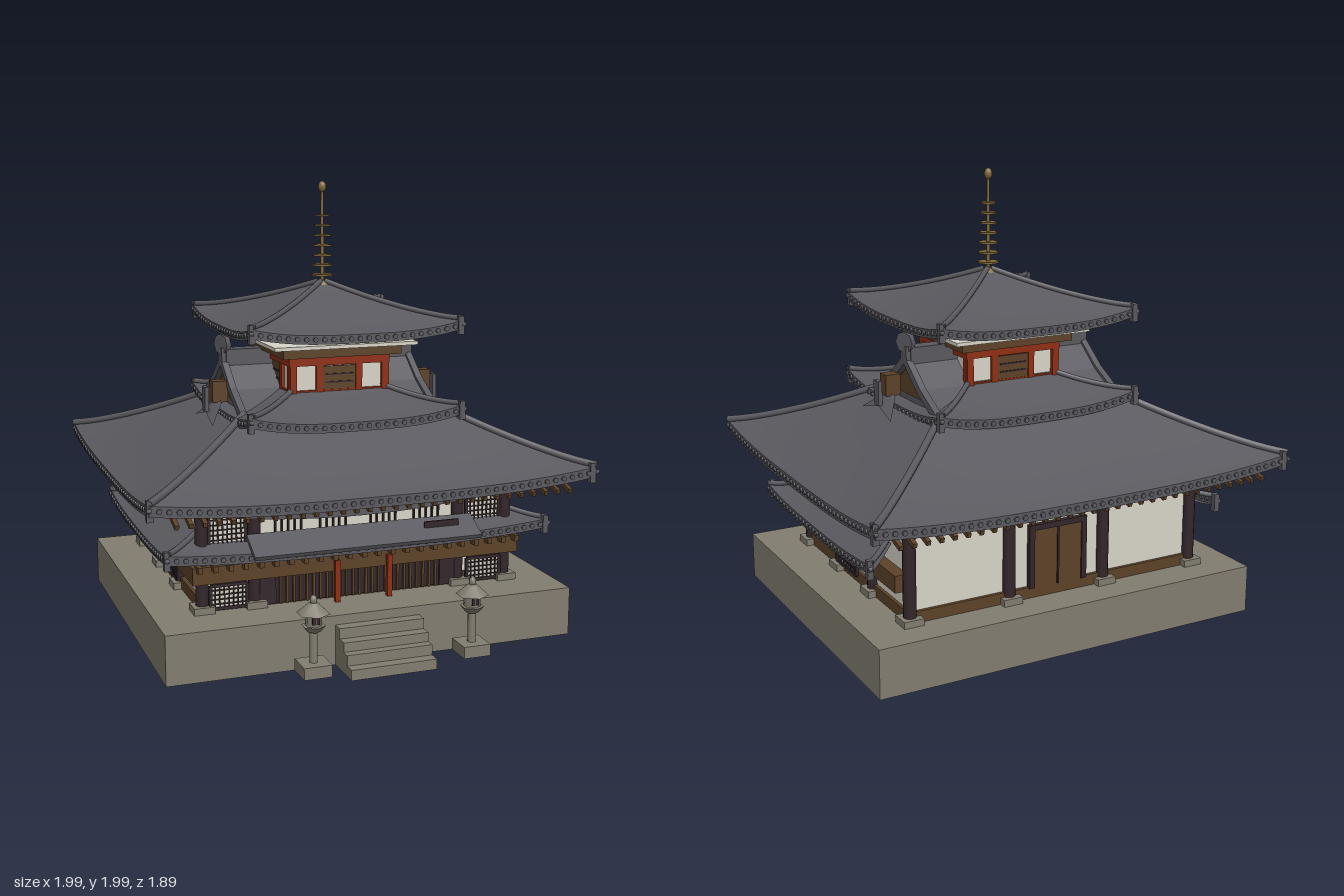
import * as THREE from 'three';
import { mergeGeometries } from 'three/addons/utils/BufferGeometryUtils.js';

const V = (x, y, z) => new THREE.Vector3(x, y, z);
const mk = (name, color, side = THREE.FrontSide) => {
  const m = new THREE.MeshStandardMaterial({ color, side });
  m.name = name;
  return m;
};

export function createModel() {
  const root = new THREE.Group();
  const tile = mk('roofTile', 0x5a595f, THREE.DoubleSide), stone = mk('stone', 0x827d70);
  const plaster = mk('plaster', 0xd8d4c8), dark = mk('darkWood', 0x33262a);
  const brown = mk('brownWood', 0x5c4228), red = mk('redWood', 0x8f2e12), gold = mk('bronze', 0x80683a);

  const add = (name, mat, geo, x = 0, y = 0, z = 0, parent = root) => {
    const m = new THREE.Mesh(geo, mat);
    m.name = name;
    m.position.set(x, y, z);
    parent.add(m);
    return m;
  };
  // box given by centre x/z and its bottom and top heights
  const box = (name, mat, w, d, y0, y1, x = 0, z = 0, parent = root) =>
    add(name, mat, new THREE.BoxGeometry(w, y1 - y0, d), x, (y0 + y1) / 2, z, parent);
  // straight beam from p to q
  const bar = (name, mat, p, q, w, h) => {
    const m = add(name, mat, new THREE.BoxGeometry(w, h, p.distanceTo(q)));
    m.position.copy(p).add(q).multiplyScalar(0.5);
    m.lookAt(q);
    return m;
  };
  const cyl = (name, mat, r0, r1, y0, y1, x, z, n = 12) =>
    add(name, mat, new THREE.CylinderGeometry(r1, r0, y1 - y0, n), x, (y0 + y1) / 2, z);

  // surface patch from a function of u (-1..1) and t (0..1)
  function grid(fn, nu, nt) {
    const pos = [], idx = [];
    for (let j = 0; j <= nt; j++) for (let i = 0; i <= nu; i++) pos.push(...fn(-1 + 2 * i / nu, j / nt).toArray());
    for (let j = 0; j < nt; j++) for (let i = 0; i < nu; i++) {
      const a = j * (nu + 1) + i, b = a + nu + 1;
      idx.push(a, a + 1, b + 1, a, b + 1, b);
    }
    const g = new THREE.BufferGeometry();
    g.setAttribute('position', new THREE.Float32BufferAttribute(pos, 3));
    g.setIndex(idx);
    g.computeVertexNormals();
    return g;
  }

  // curved hip roof with upturned corners, tile ends and hip ridges
  function hipRoof(name, o) {
    const patches = [], ends = [], hips = new Set();
    const at = (a, u, t, drop = 0) => {
      const hx = o.hx + (o.ix - o.hx) * t, hz = o.hz + (o.iz - o.hz) * t, s = Math.sin(a), c = Math.cos(a);
      const y = o.y0 + (o.y1 - o.y0) * Math.pow(t, o.pow) + o.lift * Math.abs(u) ** 3 * (1 - t) ** 2 - drop;
      return V((s + u * c) * hx, y, (c - u * s) * hz + o.zc);
    };
    for (const k of o.sides) {
      const a = k * Math.PI / 2;
      patches.push(grid((u, t) => at(a, u, t), 24, 10));
      patches.push(grid((u, t) => at(a, u, t, o.thick), 24, 10));
      patches.push(grid((u, t) => at(a, u, 0, o.thick * (1 - t)), 24, 1));
      const n = Math.round((k % 2 ? o.hz : o.hx) * 2 / 0.04);
      for (let i = 0; i <= n; i++) {
        const g = new THREE.CylinderGeometry(0.011, 0.011, 0.016, 8);
        const p = at(a, -1 + 2 * i / n, 0, o.thick * 0.45);
        ends.push(g.rotateX(Math.PI / 2).rotateY(a).translate(p.x, p.y, p.z));
      }
      hips.add(k).add((k + 3) % 4);
    }
    add(name, tile, mergeGeometries(patches));
    add(name + 'TileEnds', tile, mergeGeometries(ends));
    for (const k of hips) {
      const a = k * Math.PI / 2, pts = [];
      for (let i = 0; i <= 8; i++) pts.push(at(a, 1, i / 8, -0.008));
      add(name + 'HipRidge', tile, new THREE.TubeGeometry(new THREE.CatmullRomCurve3(pts), 16, o.ridge, 8));
      const c = at(a, 0.985, 0.01);
      box(name + 'CornerEnd', tile, 0.026, 0.026, c.y - o.thick - 0.022, c.y + 0.02, c.x, c.z);
    }
    return at;
  }

  // stone platform and steps
  box('platform', stone, 1.83, 1.48, 0, 0.215, 0, -0.04);
  [[0.89, 0.045], [0.84, 0.09], [0.8, 0.13], [0.75, 0.175]].forEach(([z, y]) =>
    box('step', stone, 0.38, z - 0.69, 0, y, 0, (z + 0.69) / 2));

  // stone lanterns
  for (const x of [-0.35, 0.35]) {
    const z = 0.88;
    box('lanternBase', stone, 0.12, 0.12, 0.05, 0.1, x, z);
    cyl('lanternPost', stone, 0.017, 0.017, 0.1, 0.24, x, z);
    cyl('lanternShelf', stone, 0.03, 0.05, 0.23, 0.255, x, z, 6);
    cyl('lanternBox', stone, 0.035, 0.035, 0.255, 0.31, x, z, 6);
    box('lanternOpening', dark, 0.03, 0.006, 0.265, 0.3, x, z + 0.031);
    cyl('lanternRoof', stone, 0.07, 0.018, 0.305, 0.35, x, z, 6);
    add('lanternJewel', stone, new THREE.SphereGeometry(0.015, 10, 8), x, 0.36, z).scale.y = 1.4;
  }

  // main hall walls, beams and ceiling
  const zc = -0.075, fz = 0.465, bz = -0.61;
  box('hallWalls', plaster, 1.39, 1.06, 0.215, 0.66, 0, zc);
  box('wallSill', brown, 1.42, 1.09, 0.215, 0.265, 0, zc);
  box('topBeam', brown, 1.46, 1.13, 0.64, 0.69, 0, zc);
  box('ceiling', brown, 1.4, 1.08, 0.69, 0.8, 0, zc);
  box('skirtBracket', brown, 1.5, 1.09, 0.345, 0.42, 0, -0.035);
  const column = (x, z) => {
    cyl('column', dark, 0.028, 0.028, 0.22, 0.65, x, z);
    box('columnBase', stone, 0.09, 0.09, 0.215, 0.245, x, z);
  };
  for (const x of [-0.7, -0.235, 0.235, 0.7]) column(x, bz);
  for (const x of [-0.7, -0.47, 0.47, 0.7]) column(x, fz);
  for (const s of [-1, 1]) for (const z of [0.1, -0.25]) column(s * 0.7, z);

  // latticed windows: pale plate, frame and thin bars
  function lattice(x, y, z, w, h, nx, ny, rot = 0) {
    const g = new THREE.Group();
    g.name = 'latticeWindow';
    g.position.set(x, y, z);
    g.rotation.y = rot;
    root.add(g);
    box('windowPane', plaster, w, 0.008, -h / 2, h / 2, 0, 0, g);
    for (let i = 0; i <= nx; i++) {
      const t = i % nx ? 0.005 : 0.014;
      box('windowBar', dark, t, 0.012, -h / 2, h / 2, -w / 2 + w * i / nx, 0.004, g);
    }
    for (let j = 0; j <= ny; j++) {
      const t = j % ny ? 0.0025 : 0.007, y = -h / 2 + h * j / ny;
      box('windowBar', dark, w, 0.012, y - t, y + t, 0, 0.004, g);
    }
  }
  for (const s of [-1, 1]) {
    lattice(s * 0.59, 0.565, 0.468, 0.16, 0.13, 8, 6);
    lattice(s * 0.59, 0.28, 0.485, 0.16, 0.1, 8, 5);
    lattice(s * 0.706, 0.57, -0.07, 0.25, 0.09, 10, 4, s * Math.PI / 2);
    lattice(s * 0.715, 0.305, 0, 0.22, 0.11, 8, 4, s * Math.PI / 2);
    box('frontDoor', dark, 0.1, 0.02, 0.22, 0.345, s * 0.43, 0.475);
    box('porchPost', red, 0.022, 0.022, 0.215, 0.4, s * 0.12, 0.53);
  }
  // slatted front screens
  box('frontOpening', dark, 0.78, 0.01, 0.22, 0.345, 0, 0.472);
  for (let i = -12; i <= 12; i++) box('screenSlat', brown, 0.01, 0.012, 0.22, 0.345, i * 0.03, 0.483);
  for (let i = -16; i <= 16; i++) if (Math.abs(i % 7) > 1) box('upperSlat', dark, 0.007, 0.012, 0.52, 0.65, i * 0.029, 0.466);

  // rear door
  box('rearDoor', brown, 0.25, 0.02, 0.26, 0.52, 0, -0.612);
  for (const x of [-0.13, 0, 0.13]) box('rearDoorFrame', dark, x ? 0.025 : 0.008, 0.03, 0.26, 0.53, x, -0.614);
  box('rearDoorLintel', dark, 0.285, 0.03, 0.52, 0.545, 0, -0.614);

  // skirt roof on the front and flanks, with small bracket ends below
  hipRoof('skirtRoof', { hx: 0.87, hz: 0.585, ix: 0.69, iz: 0.405, y0: 0.47, y1: 0.545, pow: 1.1, lift: 0.03, thick: 0.04, zc: -0.02, sides: [0, 1, 3], ridge: 0.012 });
  for (let i = -11; i <= 11; i++) box('skirtRafterEnd', brown, 0.02, 0.06, 0.405, 0.432, i * 0.066, 0.52);
  // raised porch roof
  bar('porchRoof', tile, V(0, 0.47, 0.625), V(0, 0.535, 0.5), 1.03, 0.02);
  box('porchBeam', dark, 0.16, 0.01, 0.51, 0.54, 0.35, 0.56);
  const sag = u => 0.605 + 0.03 * u * u;
  add('porchUpperEave', tile, mergeGeometries([
    grid((u, t) => V(u * 0.51, sag(u) - 0.018 + 0.036 * t, 0.53), 20, 1),
    grid((u, t) => V(u * 0.51, sag(u) + 0.018 + 0.02 * t, 0.53 - 0.06 * t), 20, 2),
    grid((u, t) => V(u * 0.51, sag(u) - 0.018, 0.47 + 0.06 * t), 20, 2)]));

  // main roof with rafters
  hipRoof('mainRoof', { hx: 0.985, hz: 0.85, ix: 0.44, iz: 0.305, y0: 0.73, y1: 0.995, pow: 1.12, lift: 0.045, thick: 0.045, zc, sides: [0, 1, 2, 3], ridge: 0.016 });
  for (let i = -15; i <= 15; i++) for (const s of [-1, 1])
    bar('rafter', brown, V(i * 0.058, 0.76, zc + s * 0.54), V(i * 0.058, 0.672, zc + s * 0.83), 0.018, 0.02);

  // upper gable, its ridge and end ornaments
  const gable = new THREE.Shape([[-0.33, 0.96], [0.33, 0.96], [0.305, 0.995], [0.15, 1.08], [0, 1.2], [-0.15, 1.08], [-0.305, 0.995]].map(p => new THREE.Vector2(...p)));
  add('upperGable', tile, new THREE.ExtrudeGeometry(gable, { depth: 0.86, bevelEnabled: false }).rotateY(Math.PI / 2), -0.43, 0, zc);
  box('mainRidge', tile, 0.88, 0.07, 1.15, 1.245, 0, zc);
  const pediment = new THREE.Shape([[-0.17, 1.03], [0.17, 1.03], [0, 1.16]].map(p => new THREE.Vector2(...p)));
  for (const s of [-1, 1]) {
    add('pediment', brown, new THREE.ExtrudeGeometry(pediment, { depth: 0.008, bevelEnabled: false }).rotateY(Math.PI / 2), s * 0.433 - 0.004, 0, zc);
    for (const k of [-1, 1]) {
      bar('bargeBoard', tile, V(s * 0.445, 1.19, zc), V(s * 0.445, 1.075, zc + k * 0.15), 0.03, 0.035);
      bar('bargeBoard', tile, V(s * 0.445, 1.078, zc + k * 0.145), V(s * 0.445, 0.985, zc + k * 0.32), 0.03, 0.035);
      // flared lower ornament
      const fin = new THREE.BufferGeometry().setFromPoints([V(0.49, 1.04, 0), V(0.49, 1.02, 0.05 * k), V(0.56, 0.94, 0.15 * k), V(0.55, 0.975, 0)].map(p => p.setX(p.x * s)));
      fin.setIndex([0, 1, 2, 0, 2, 3]);
      fin.computeVertexNormals();
      add('flaredOrnament', tile, fin);
    }
    const cap = add('ridgeEnd', tile, new THREE.CylinderGeometry(0.048, 0.048, 0.025, 8), s * 0.448, 1.265, zc);
    cap.rotation.set(Math.PI / 8, 0, Math.PI / 2, 'ZYX');
    box('ridgeEndNeck', tile, 0.025, 0.06, 1.17, 1.25, s * 0.448, zc);
    box('sideOrnament', brown, 0.07, 0.06, 1.02, 1.115, s * 0.49);
    box('sideOrnamentTip', tile, 0.018, 0.05, 0.98, 1.09, s * 0.55);
  }

  // tower: lower roof, walls, brackets
  hipRoof('towerSkirtRoof', { hx: 0.485, hz: 0.485, ix: 0.2, iz: 0.2, y0: 0.985, y1: 1.09, pow: 1.2, lift: 0.045, thick: 0.04, zc: 0, sides: [0, 1, 2, 3], ridge: 0.012 });
  box('towerWalls', plaster, 0.43, 0.43, 1, 1.21);
  for (let k = 0; k < 4; k++) {
    const side = new THREE.Group();
    side.name = 'towerSide';
    side.rotation.y = k * Math.PI / 2;
    root.add(side);
    for (const x of [-0.22, -0.092, 0.092, 0.22]) box('towerColumn', red, 0.03, 0.03, 1.04, 1.21, x, 0.215, side);
    box('towerDoor', brown, 0.155, 0.02, 1.08, 1.19, 0, 0.215, side);
    for (const y of [1.115, 1.15]) box('towerDoorRail', dark, 0.13, 0.006, y, y + 0.006, 0, 0.227, side);
    box('towerSill', red, 0.45, 0.025, 1.06, 1.085, 0, 0.215, side);
  }
  box('towerBeam', red, 0.47, 0.47, 1.195, 1.235);
  box('towerBracket', brown, 0.55, 0.55, 1.235, 1.28);
  box('towerCornice', plaster, 0.66, 0.66, 1.28, 1.296);

  // top roof
  hipRoof('topRoof', { hx: 0.478, hz: 0.478, ix: 0.012, iz: 0.012, y0: 1.36, y1: 1.535, pow: 1.2, lift: 0.04, thick: 0.038, zc: 0, sides: [0, 1, 2, 3], ridge: 0.012 });

  // ringed spire
  cyl('spirePole', gold, 0.009, 0.006, 1.52, 1.96, 0, 0);
  cyl('spireFoot', gold, 0.035, 0.02, 1.525, 1.545, 0, 0);
  for (let i = 0; i < 7; i++) {
    const r = 0.047 - i * 0.0025;
    cyl('spireRing', gold, r, r, 1.566 + i * 0.044, 1.574 + i * 0.044, 0, 0, 20);
  }
  add('spireJewel', gold, new THREE.SphereGeometry(0.018, 14, 10), 0, 1.962, 0).scale.y = 1.4;
  return root;
}
